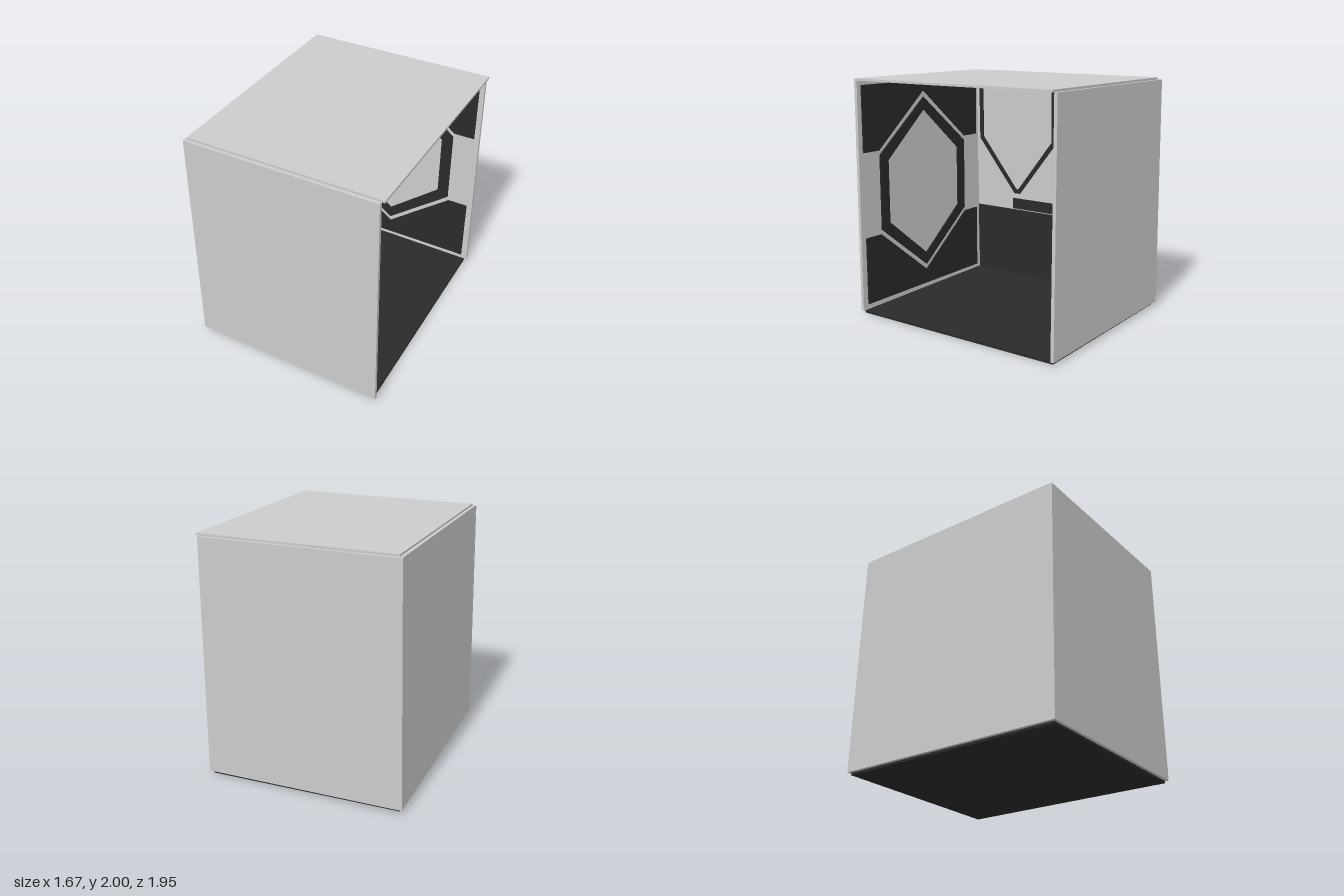
import * as THREE from 'three';

const grey = new THREE.MeshStandardMaterial({ color: 0xcccccc });
const dark = new THREE.MeshStandardMaterial({ color: 0x2a2a2a });

const toPoints = (pts) => pts.map(([x, y]) => new THREE.Vector2(x, y));

// Flat plate cut from an outline, optionally with a hole, centred in its thickness
function plate(name, outline, hole, depth, material) {
  const shape = new THREE.Shape(toPoints(outline));
  if (hole) shape.holes.push(new THREE.Path(toPoints(hole)));
  const geometry = new THREE.ExtrudeGeometry(shape, { depth, bevelEnabled: false });
  geometry.translate(0, 0, -depth / 2);
  const mesh = new THREE.Mesh(geometry, material);
  mesh.name = name;
  return mesh;
}

function slab(name, w, h, d, material) {
  const mesh = new THREE.Mesh(new THREE.BoxGeometry(w, h, d), material);
  mesh.name = name;
  return mesh;
}

// Upright six-sided outline: half width, corner heights, bottom and top tips
const hexagon = (w, low, high, bottom, top) => [
  [0, bottom], [w, low], [w, high], [0, top], [-w, high], [-w, low],
];

// Side wall with its inlays; sign is +1 for the front, -1 for the back
function sideWall(name, sign) {
  const wall = new THREE.Group();
  wall.name = name;
  const panel = plate(name + 'Panel', [[-0.838, 0.035], [0.82, 0.025], [0.806, 1.98], [-0.802, 1.975]], null, 0.028, grey);
  panel.position.z = sign * 0.963;
  wall.add(panel);

  const inlays = new THREE.Group();
  inlays.name = name + 'Inlays';
  inlays.add(
    plate('hexagonRing', hexagon(0.565, 0.69, 1.34, 0.25, 1.79), hexagon(0.465, 0.735, 1.285, 0.36, 1.68), 0.014, dark),
    plate('upperInlay', [[0.755, 1.94], [-0.755, 1.94], [-0.755, 1.38], [-0.575, 1.38], [0, 1.85], [0.575, 1.38], [0.755, 1.38]], null, 0.014, dark),
    plate('lowerInlay', [[-0.755, 0.07], [0.755, 0.07], [0.755, 0.65], [0.575, 0.65], [0, 0.2], [-0.575, 0.65], [-0.755, 0.65]], null, 0.014, dark),
  );
  inlays.position.set(0.01, 0, sign * 0.945);
  wall.add(inlays);
  return wall;
}

// Slightly leaning end wall, opposite the open side
function endWall() {
  const wall = new THREE.Group();
  wall.name = 'endWall';
  const panel = slab('endPanel', 0.03, 1.945, 1.9, grey);
  panel.position.set(0.015, 0.9725, 0);
  wall.add(panel);

  const inlays = new THREE.Group();
  inlays.name = 'endInlays';
  const outer = [[0.43, 1.93], [-0.43, 1.93], [-0.43, 1.335], [-0.03, 0.83], [0.03, 0.83], [0.43, 1.335]];
  const inner = [[0.39, 1.89], [-0.39, 1.89], [-0.39, 1.35], [-0.013, 0.87], [0.013, 0.87], [0.39, 1.35]];
  for (const side of [-1, 1]) {
    const ring = plate('shieldRing', outer, inner, 0.012, dark);
    ring.position.x = side * 0.48;
    inlays.add(ring);
  }
  const bar = slab('bar', 1.06, 0.1, 0.012, dark);
  bar.position.y = 0.73;
  const base = slab('lowerPanel', 1.89, 0.64, 0.012, dark);
  base.position.y = 0.35;
  inlays.add(bar, base);
  inlays.rotation.y = Math.PI / 2;
  inlays.position.set(0.034, -0.03, 0);
  wall.add(inlays);

  wall.position.set(-0.838, 0.035, 0);
  wall.rotation.z = -0.019;
  return wall;
}

export function createModel() {
  const model = new THREE.Group();
  model.name = 'openBox';
  model.add(sideWall('frontWall', 1), sideWall('backWall', -1), endWall());

  // Lid and floor
  const lid = slab('lid', 1.605, 0.018, 1.9, grey);
  lid.position.set(0.03, 1.987, 0);
  lid.rotation.z = 0.003;
  const floor = slab('floor', 1.61, 0.02, 1.91, dark);
  floor.position.set(-0.01, 0.017, 0);
  floor.rotation.z = -0.008;
  model.add(lid, floor);
  return model;
}
